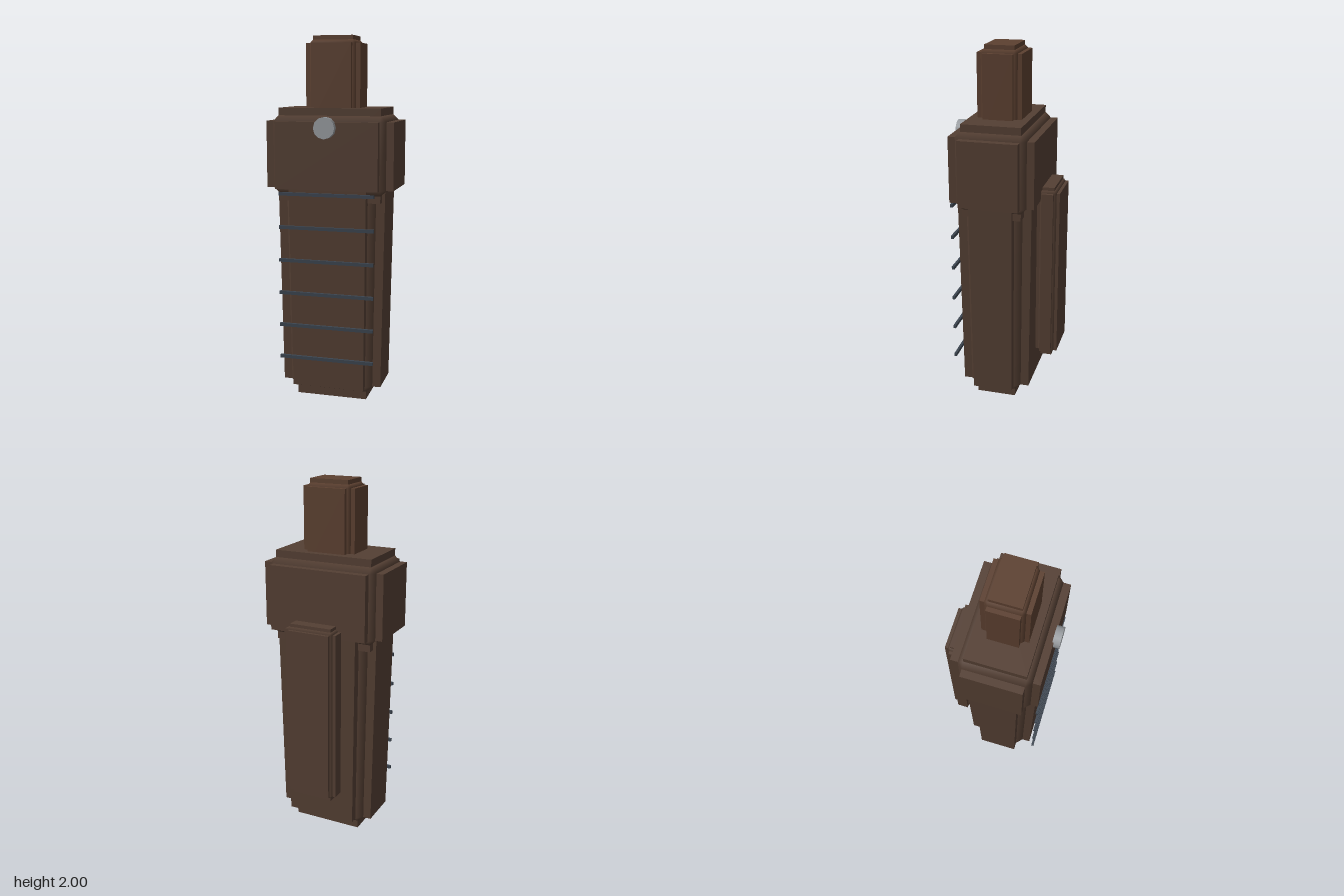
import * as THREE from 'three';
import { mergeVertices } from 'three/addons/utils/BufferGeometryUtils.js';
import { ConvexGeometry } from 'three/addons/geometries/ConvexGeometry.js';

const leather = new THREE.MeshStandardMaterial({ color: 0x543f33 });
const grip = new THREE.MeshStandardMaterial({ color: 0x5c4030 });
const thread = new THREE.MeshStandardMaterial({ color: 0x3c4550 });
const metal = new THREE.MeshStandardMaterial({ color: 0x9a9ea2 });

// Widens a geometry linearly with height, in x and z
function flare(geometry, amount) {
  const p = geometry.attributes.position;
  for (let i = 0; i < p.count; i++) {
    const s = 1 + amount * p.getY(i);
    p.setXYZ(i, p.getX(i) * s, p.getY(i), p.getZ(i) * s);
  }
  geometry.computeVertexNormals();
  return geometry;
}

// Chamfered core with a raised plate on each of its six faces.
// hx, hz: half sizes; y0, y1: bottom and top; r: inset of the plates
function panelled(name, material, { hx, hz, y0, y1, z, r, taper = 0 }) {
  const group = new THREE.Group();
  group.name = name;
  const half = [hx, (y1 - y0) / 2, hz];
  const yc = (y0 + y1) / 2;
  const add = (part, geometry) => {
    const mesh = new THREE.Mesh(geometry, material);
    mesh.name = part;
    group.add(mesh);
  };

  // Plates: one box through the body along each axis
  ['sidePlates', 'endPlates', 'facePlates'].forEach((part, axis) => {
    const size = half.map((h, i) => 2 * (i === axis ? h : h - r));
    add(part, flare(new THREE.BoxGeometry(...size).translate(0, yc, 0), taper));
  });

  // Core: hull of six inset face rectangles, with softly shaded chamfers
  const points = [];
  for (let axis = 0; axis < 3; axis++) {
    for (const sx of [-1, 1]) for (const sy of [-1, 1]) for (const sz of [-1, 1]) {
      const c = half.map((h, i) => h - r + (i === axis ? 0.43 * r : 0));
      points.push(new THREE.Vector3(sx * c[0], sy * c[1] + yc, sz * c[2]));
    }
  }
  const hull = new ConvexGeometry(points);
  hull.deleteAttribute('normal');
  add('core', flare(mergeVertices(hull), taper));

  group.position.z = z;
  return group;
}

export function createModel() {
  const model = new THREE.Group();
  model.name = 'sheath';

  model.add(
    panelled('sheathBody', leather, { hx: 0.279, hz: 0.191, y0: 0, y1: 1.3, z: 0.036, r: 0.08, taper: 0.062 }),
    panelled('collar', leather, { hx: 0.351, hz: 0.231, y0: 1.12, y1: 1.62, z: 0.034, r: 0.07 }),
    panelled('handle', grip, { hx: 0.15, hz: 0.121, y0: 1.5, y1: 2, z: 0.034, r: 0.04 }),
    panelled('beltLoop', leather, { hx: 0.15, hz: 0.062, y0: 0.258, y1: 1.265, z: -0.238, r: 0.03 })
  );

  // Row of stitches across the front
  const stitches = new THREE.Group();
  stitches.name = 'stitches';
  for (let i = 0; i < 6; i++) {
    const stitch = new THREE.Mesh(new THREE.BoxGeometry(0.524, 0.018, 0.014), thread);
    stitch.name = 'stitch';
    stitch.position.set(0, 0.255 + i * 0.182, 0.262);
    stitches.add(stitch);
  }
  model.add(stitches);

  // Snap button on the collar
  const button = new THREE.Mesh(new THREE.CylinderGeometry(0.0575, 0.0575, 0.04, 12), metal);
  button.name = 'snapButton';
  button.rotation.x = Math.PI / 2;
  button.position.set(0, 1.52, 0.278);
  model.add(button);

  return model;
}
